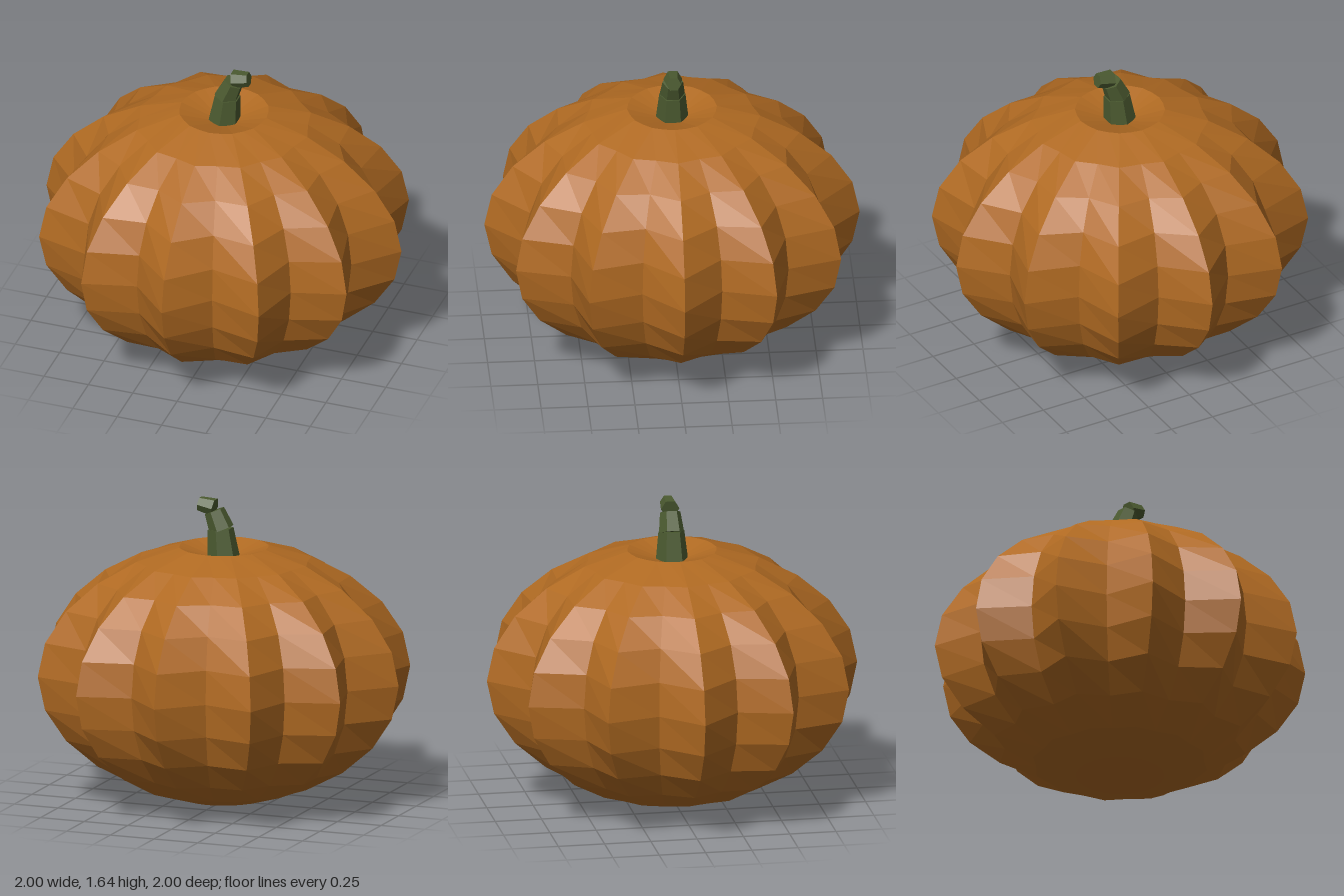
import * as THREE from 'three';

const CENTER_Y = 0.705;
const HALF_HEIGHT = 0.704;
const RIBS = 12;

// Ribbed, flattened sphere: ribs and grooves fade out toward the poles
function createBody(material) {
  const geometry = new THREE.SphereGeometry(1, RIBS * 2, 12);
  const pos = geometry.attributes.position;
  for (let i = 0; i < pos.count; i++) {
    const x = pos.getX(i), y = pos.getY(i), z = pos.getZ(i);
    const sin2 = x * x + z * z;
    const wave = Math.cos(RIBS * Math.atan2(z, x));
    const r = 0.92 + sin2 * (-0.01 + 0.09 * wave);
    // The top pole sinks into a dimple around the stem
    const height = y > 0.99 ? 1.31 : CENTER_Y + HALF_HEIGHT * y;
    pos.setXYZ(i, x * r, height, z * r);
  }
  geometry.computeVertexNormals();
  const body = new THREE.Mesh(geometry, material);
  body.name = 'body';
  return body;
}

// Tapered six-sided stem piece between two points in the x-y plane
function createStemPiece(name, material, [x0, y0, r0], [x1, y1, r1]) {
  const dx = x1 - x0, dy = y1 - y0;
  const geometry = new THREE.CylinderGeometry(r1, r0, Math.hypot(dx, dy), 6);
  const piece = new THREE.Mesh(geometry, material);
  piece.position.set((x0 + x1) / 2, (y0 + y1) / 2, 0);
  piece.rotation.z = -Math.atan2(dx, dy);
  piece.name = name;
  return piece;
}

export function createModel() {
  const skin = new THREE.MeshStandardMaterial({ color: 0xb06a22, flatShading: true });
  const green = new THREE.MeshStandardMaterial({ color: 0x4b5a30, flatShading: true });

  const pumpkin = new THREE.Group();
  pumpkin.name = 'pumpkin';
  pumpkin.add(createBody(skin));

  // Stem in three separate pieces, bending toward +x
  const stem = new THREE.Group();
  stem.name = 'stem';
  stem.add(
    createStemPiece('stemBase', green, [0, 1.3, 0.09], [0.02, 1.48, 0.07]),
    createStemPiece('stemMiddle', green, [0.013, 1.475, 0.068], [0.055, 1.575, 0.055]),
    createStemPiece('stemTip', green, [0.053, 1.593, 0.05], [0.14, 1.608, 0.04]),
  );
  pumpkin.add(stem);
  return pumpkin;
}
